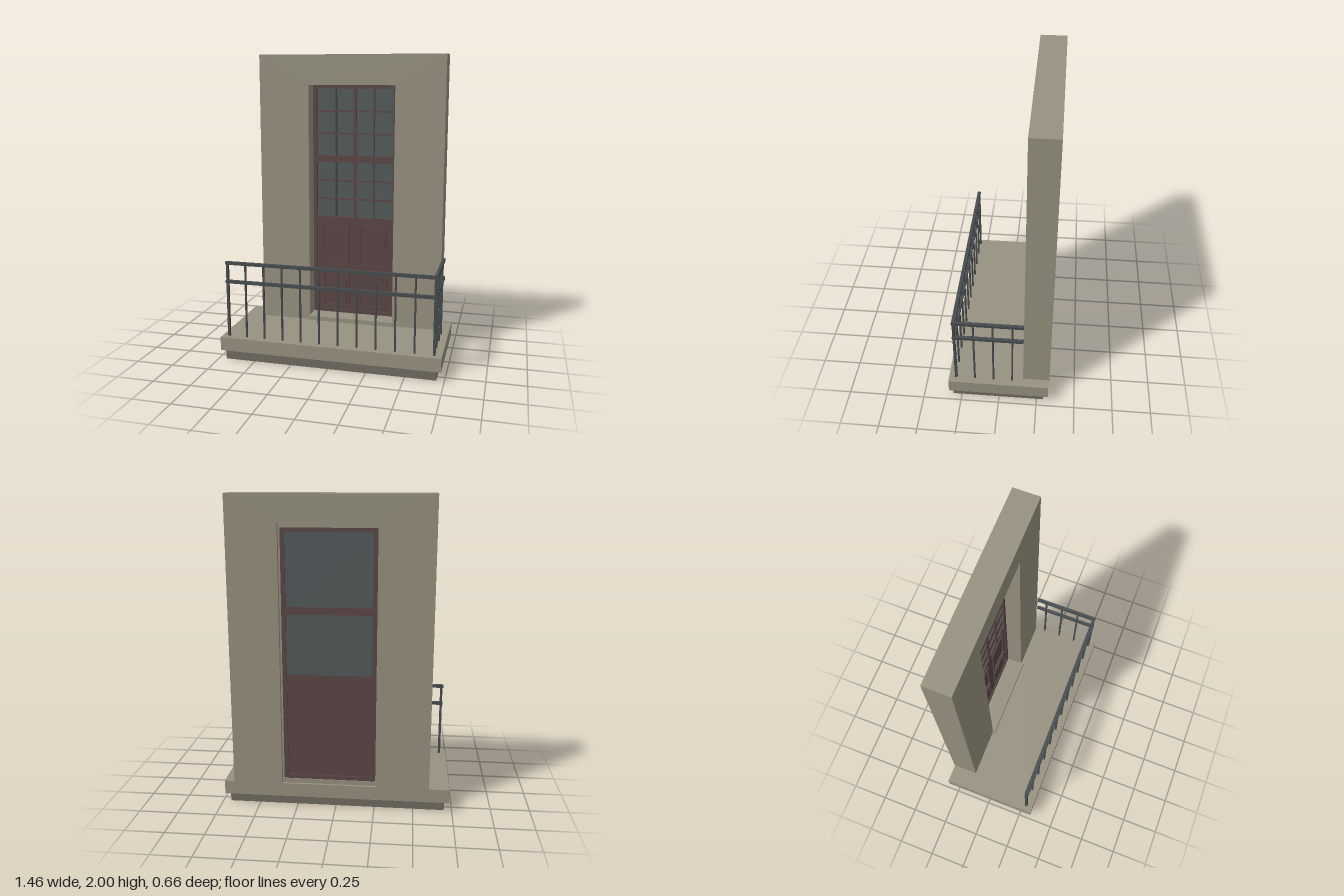
import * as THREE from 'three';

export function createModel() {
  const model = new THREE.Group();
  model.name = 'balconyDoor';
  const paint = (name, color) => {
    const m = new THREE.MeshStandardMaterial({ color });
    m.name = name;
    return m;
  };
  const stone = paint('stone', 0x97917f);
  const darkStone = paint('darkStone', 0x716c61);
  const wood = paint('wood', 0x5b4646);
  const glass = paint('glass', 0x535a5b);
  const iron = paint('iron', 0x474c4e);

  const group = (name) => {
    const g = new THREE.Group();
    g.name = name;
    model.add(g);
    return g;
  };
  // box given by its limits on each axis
  const box = (parent, name, mat, x0, x1, y0, y1, z0, z1) => {
    const mesh = new THREE.Mesh(new THREE.BoxGeometry(x1 - x0, y1 - y0, z1 - z0), mat);
    mesh.position.set((x0 + x1) / 2, (y0 + y1) / 2, (z0 + z1) / 2);
    mesh.name = name;
    parent.add(mesh);
  };
  // rectangular border made of four bars
  const border = (parent, name, mat, x0, x1, y0, y1, z0, z1, w) => {
    box(parent, name, mat, x0, x0 + w, y0, y1, z0, z1);
    box(parent, name, mat, x1 - w, x1, y0, y1, z0, z1);
    box(parent, name, mat, x0 + w, x1 - w, y0, y0 + w, z0, z1);
    box(parent, name, mat, x0 + w, x1 - w, y1 - w, y1, z0, z1);
  };

  // balcony floor
  const floor = group('balconyFloor');
  box(floor, 'slab', stone, -0.73, 0.73, 0.065, 0.155, -0.325, 0.33);
  box(floor, 'slabBase', darkStone, -0.7, 0.7, 0, 0.065, -0.295, 0.308);

  // wall with a doorway; the doorway is slightly larger at the back
  const wall = group('wall');
  const wallLayer = (name, l, r, top, z0, z1) => {
    const shape = new THREE.Shape([
      [-0.6, 0.15], [l, 0.15], [l, top], [r, top],
      [r, 0.15], [0.665, 0.15], [0.665, 2], [-0.6, 2],
    ].map(([x, y]) => new THREE.Vector2(x, y)));
    const geo = new THREE.ExtrudeGeometry(shape, { depth: z1 - z0, bevelEnabled: false });
    const mesh = new THREE.Mesh(geo, stone);
    mesh.position.z = z0;
    mesh.name = name;
    wall.add(mesh);
  };
  wallLayer('wallFront', -0.255, 0.335, 1.8, -0.3, -0.157);
  wallLayer('wallBack', -0.267, 0.347, 1.83, -0.33, -0.3);
  box(wall, 'sill', stone, -0.265, 0.345, 0.15, 0.185, -0.31, -0.138);

  // door frame and solid lower part
  const door = group('door');
  border(door, 'doorFrame', wood, -0.255, 0.335, 0.185, 1.8, -0.305, -0.265, 0.026);
  box(door, 'doorPanel', wood, -0.229, 0.309, 0.185, 0.86, -0.295, -0.276);
  box(door, 'lockRail', wood, -0.229, 0.309, 0.855, 0.885, -0.295, -0.268);
  box(door, 'transom', wood, -0.229, 0.309, 1.272, 1.318, -0.3, -0.265);

  // raised mouldings with an inner field
  for (const [x0, x1] of [[-0.188, 0.003], [0.08, 0.271]]) {
    for (const [y0, y1] of [[0.23, 0.485], [0.53, 0.825]]) {
      border(door, 'moulding', wood, x0, x1, y0, y1, -0.277, -0.264, 0.013);
      box(door, 'panelField', wood, x0 + 0.018, x1 - 0.018, y0 + 0.018, y1 - 0.018, -0.277, -0.272);
    }
  }

  // glazing with three uprights and two cross bars per light
  for (const [y0, y1] of [[0.885, 1.272], [1.318, 1.774]]) {
    box(door, 'pane', glass, -0.229, 0.309, y0, y1, -0.294, -0.284);
    [[-0.093, 0.011], [0.04, 0.02], [0.173, 0.011]].forEach(([x, w]) =>
      box(door, 'upright', wood, x - w / 2, x + w / 2, y0, y1, -0.285, -0.267));
    for (let i = 1; i < 3; i++) {
      const y = y0 + ((y1 - y0) * i) / 3;
      box(door, 'crossBar', wood, -0.229, 0.309, y - 0.006, y + 0.006, -0.285, -0.269);
    }
  }

  // railing along the front and one side
  const railing = group('railing');
  for (const [y0, y1] of [[0.646, 0.666], [0.52, 0.54]]) {
    box(railing, 'frontRail', iron, -0.698, 0.694, y0, y1, 0.272, 0.294);
    box(railing, 'sideRail', iron, 0.672, 0.692, y0, y1, -0.157, 0.272);
  }
  const post = (x, z, r) => box(railing, 'post', iron, x - r, x + r, 0.15, 0.65, z - r, z + r);
  for (let i = 0; i < 12; i++) {
    post(-0.685 + i * 0.1242, 0.283, i % 11 ? 0.0055 : 0.008);
  }
  for (let i = 1; i < 4; i++) post(0.682, 0.283 - i * 0.123, 0.0055);

  return model;
}
